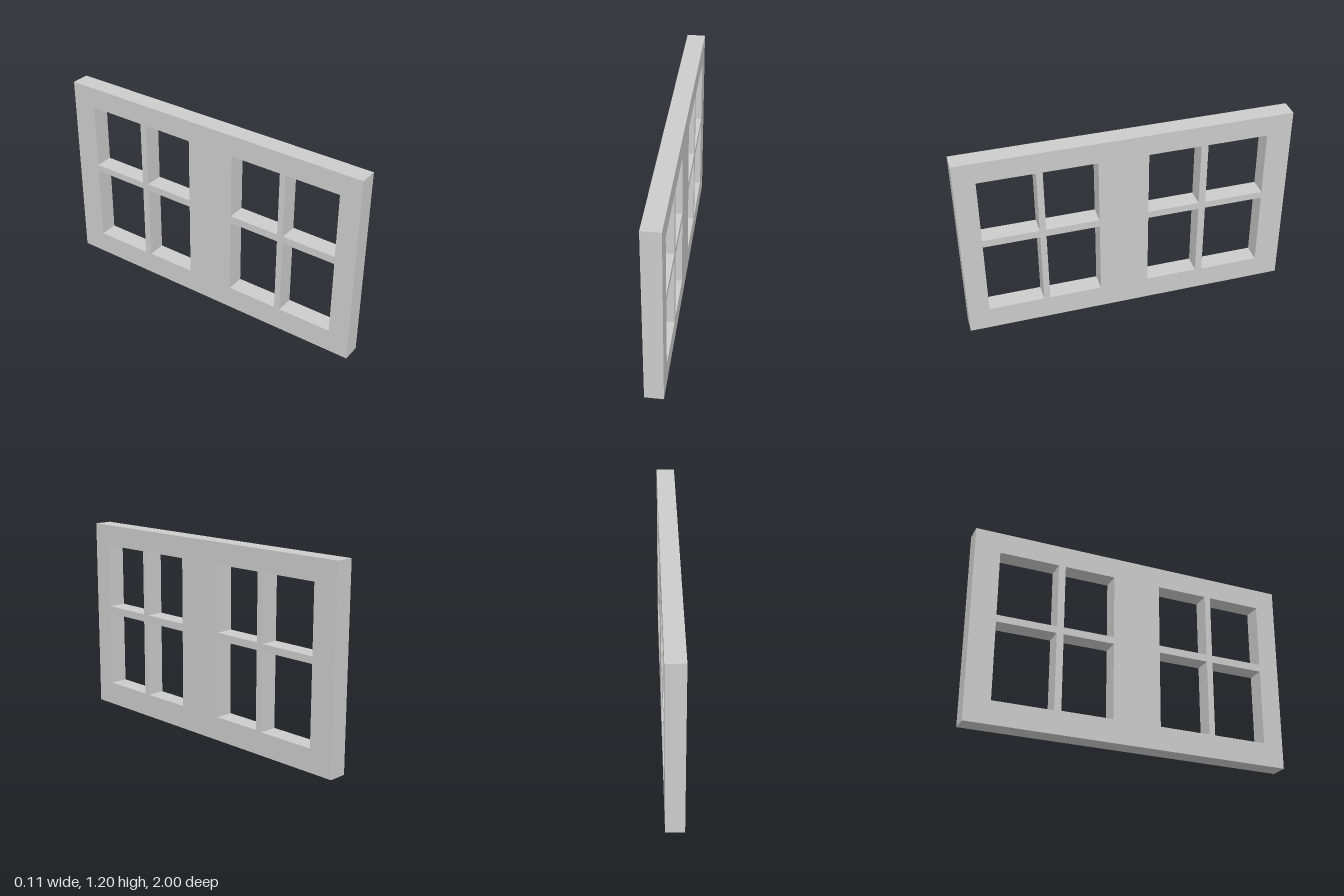
import * as THREE from 'three';

const DEPTH = 0.112;
const HEIGHT = 1.2;

// Traces a rectangle in the (z, y) plane of the panel
function rect(path, z0, z1, y0, y1) {
  path.moveTo(z0, y0);
  path.lineTo(z1, y0);
  path.lineTo(z1, y1);
  path.lineTo(z0, y1);
  path.closePath();
  return path;
}

export function createModel() {
  const group = new THREE.Group();
  group.name = 'doubleWindow';

  // Outer frame
  const shape = rect(new THREE.Shape(), -1, 1, 0, HEIGHT);

  // Pane openings: four columns, each with a lower and an upper pane
  const columns = [
    [-0.847, -0.483, 0.141, 0.664],
    [-0.44, -0.124, 0.145, 0.666],
    [0.176, 0.497, 0.145, 0.668],
    [0.535, 0.872, 0.145, 0.668],
  ];
  for (const [z0, z1, sill, barTop] of columns) {
    shape.holes.push(rect(new THREE.Path(), z0, z1, sill, 0.621));
    shape.holes.push(rect(new THREE.Path(), z0, z1, barTop, 1.07));
  }

  // Extrude through the thickness and turn the panel to face along x
  const geometry = new THREE.ExtrudeGeometry(shape, { depth: DEPTH, bevelEnabled: false });
  geometry.translate(0, 0, -DEPTH / 2);
  geometry.rotateY(-Math.PI / 2);

  const frame = new THREE.Mesh(
    geometry,
    new THREE.MeshStandardMaterial({ color: 0xcccccc, flatShading: true })
  );
  frame.name = 'windowFrame';
  group.add(frame);
  return group;
}
